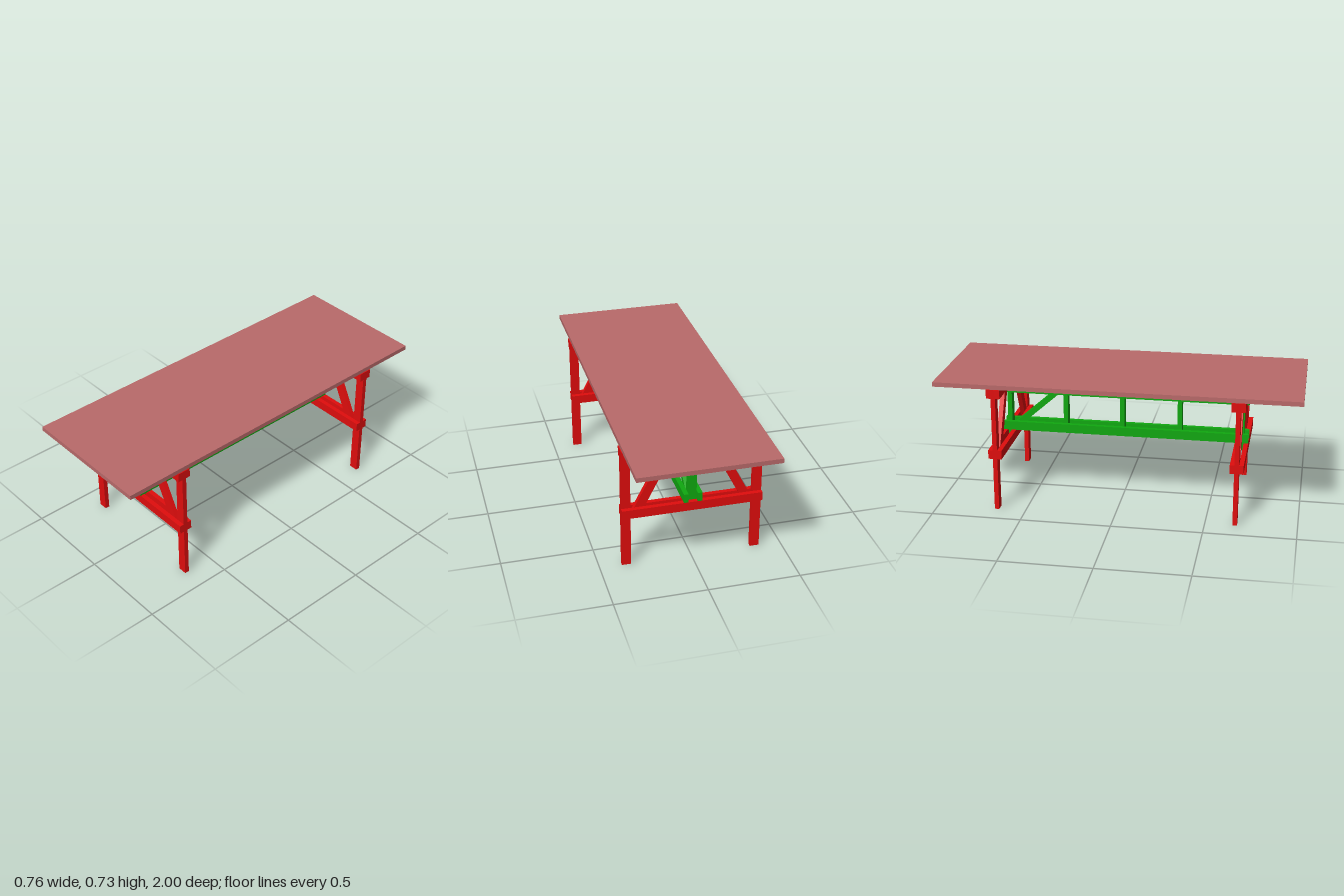
import * as THREE from 'three';

const red = new THREE.MeshStandardMaterial({ color: 0xe00d0d });
const green = new THREE.MeshStandardMaterial({ color: 0x10a810 });
const rose = new THREE.MeshStandardMaterial({ color: 0xb96a6a });
const T = 0.025; // plank thickness

// Box given by its min and max on each axis
function plank(parent, name, material, [x0, x1], [y0, y1], [z0, z1]) {
  const mesh = new THREE.Mesh(new THREE.BoxGeometry(x1 - x0, y1 - y0, z1 - z0), material);
  mesh.position.set((x0 + x1) / 2, (y0 + y1) / 2, (z0 + z1) / 2);
  mesh.name = name;
  parent.add(mesh);
  return mesh;
}

// Slanted plank with level ends: outline in XY, centred on z = 0
function slanted(name, material, corners, depth) {
  const shape = new THREE.Shape(corners.map(([x, y]) => new THREE.Vector2(x, y)));
  const geometry = new THREE.ExtrudeGeometry(shape, { depth, bevelEnabled: false });
  geometry.translate(0, 0, -depth / 2);
  const mesh = new THREE.Mesh(geometry, material);
  mesh.name = name;
  return mesh;
}

// Trestle in its own frame, with the legs centred on z = 0
function createTrestle() {
  const trestle = new THREE.Group();
  const mid = [-T / 2, T / 2];
  for (const s of [-1, 1]) {
    const side = s > 0 ? 'left' : 'right';
    plank(trestle, side + 'Leg', red, s > 0 ? [0.33, 0.38] : [-0.38, -0.33], [0, 0.7], mid);

    // Braces run between the paired rails
    const corners = [[0.28, 0.3], [0.336, 0.3], [0.13, 0.7], [0.076, 0.7]].map(([x, y]) => [s * x, y]);
    trestle.add(slanted(side + 'Brace', red, corners, T));

    // Rails sandwich the legs on both faces
    const face = s > 0 ? [T / 2, T * 1.5] : [-T * 1.5, -T / 2];
    plank(trestle, 'upperRail', red, [-0.38, 0.38], [0.65, 0.7], face);
    plank(trestle, 'lowerRail', red, [-0.38, 0.38], [0.3, 0.35], face);
  }
  plank(trestle, 'centrePost', green, [-0.025, 0.025], [0.3, 0.7], mid);
  return trestle;
}

export function createModel() {
  const model = new THREE.Group();
  model.name = 'trestleTable';

  plank(model, 'tableTop', rose, [-0.375, 0.375], [0.7, 0.725], [-1, 1]);

  for (const s of [-1, 1]) {
    const trestle = createTrestle();
    trestle.name = s > 0 ? 'frontTrestle' : 'backTrestle';
    trestle.position.z = s * 0.6625;
    model.add(trestle);
  }

  // Lattice beam joining the trestles
  const beam = new THREE.Group();
  beam.name = 'latticeBeam';
  model.add(beam);
  for (const x of [[-0.05, -0.025], [0.025, 0.05]]) {
    plank(beam, 'upperChord', green, x, [0.575, 0.625], [-0.7, 0.7]);
    plank(beam, 'lowerChord', green, x, [0.35, 0.4], [-0.7, 0.7]);
  }
  for (const z of [-0.35, -0.025, 0.3]) {
    plank(beam, 'strut', green, [-0.025, 0.025], [0.35, 0.625], [z, z + T]);
  }

  // Single diagonal at the back; drawn in XY, then turned so x becomes -z
  const diagonal = slanted('diagonalStrut', green,
    [[0.628, 0.35], [0.65, 0.35], [0.65, 0.372], [0.372, 0.615], [0.35, 0.615], [0.35, 0.595]], 0.05);
  diagonal.rotation.y = Math.PI / 2;
  beam.add(diagonal);

  return model;
}
